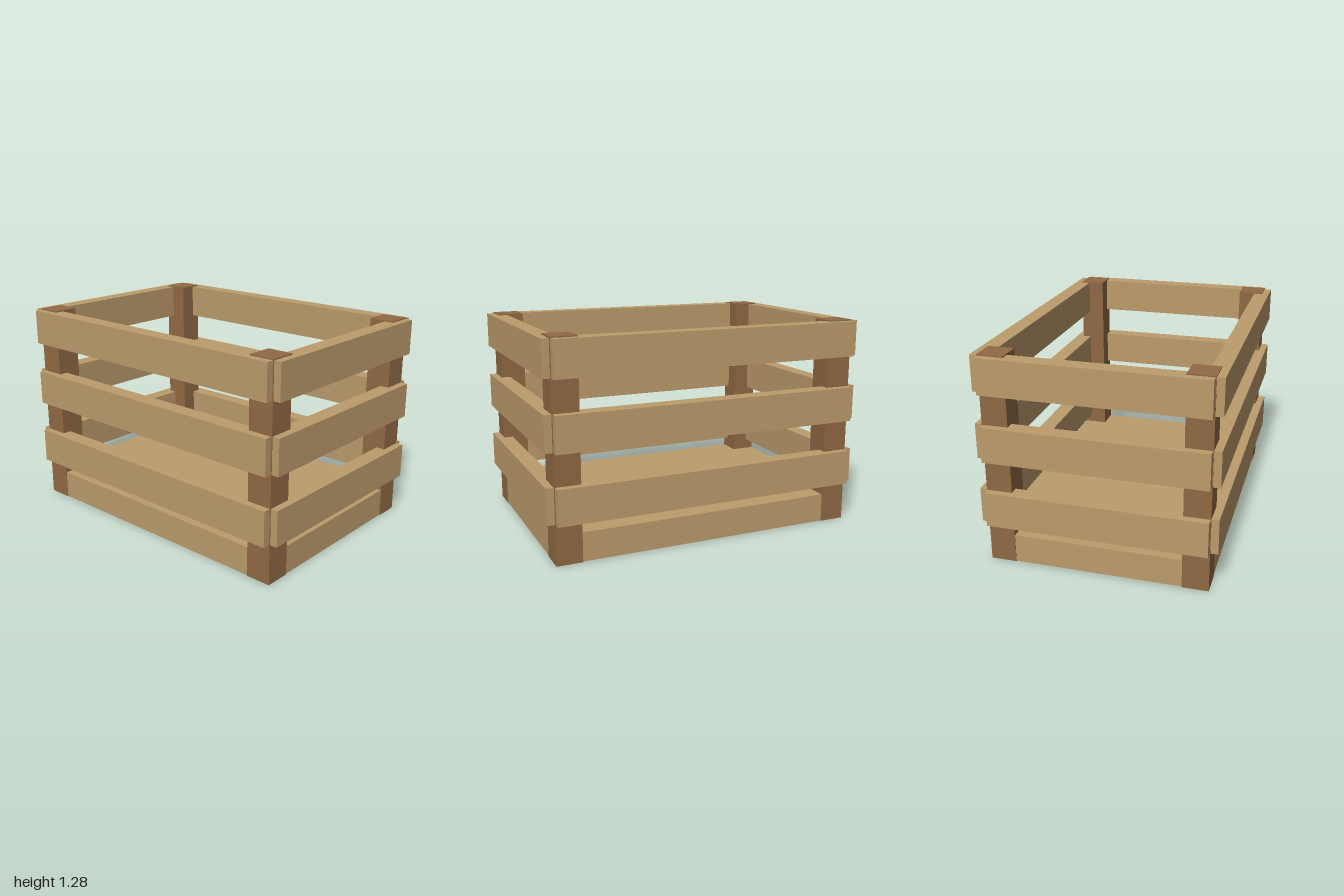
import * as THREE from 'three';

export function createModel() {
  const crate = new THREE.Group();
  crate.name = 'crate';

  const paleWood = new THREE.MeshStandardMaterial({ color: 0xbc9c6c });
  paleWood.name = 'pale wood';
  const darkWood = new THREE.MeshStandardMaterial({ color: 0x916a45 });
  darkWood.name = 'dark wood';

  // Box given by its centre in x and z, its bottom and its size
  function addBox(name, material, [w, h, d], [x, bottom, z]) {
    const mesh = new THREE.Mesh(new THREE.BoxGeometry(w, h, d), material);
    mesh.name = name;
    mesh.position.set(x, bottom + h / 2, z);
    crate.add(mesh);
  }

  // Floor slab, set just inside the posts
  addBox('floor', paleWood, [1.904, 0.175, 1.314], [0, 0.002, 0]);

  // Corner posts
  for (const x of [-0.877, 0.877]) {
    for (const z of [-0.582, 0.582]) {
      addBox('cornerPost', darkWood, [0.156, 1.285, 0.156], [x, 0, z]);
    }
  }

  // Three rows of slats around the crate
  for (const bottom of [0.245, 0.655, 1.063]) {
    for (const side of [-1, 1]) {
      addBox('longSlat', paleWood, [1.9, 0.215, 0.1], [0, bottom, side * 0.655]);
      addBox('sideSlat', paleWood, [0.1, 0.215, 1.312], [side * 0.95, bottom, 0]);
    }
  }

  return crate;
}
